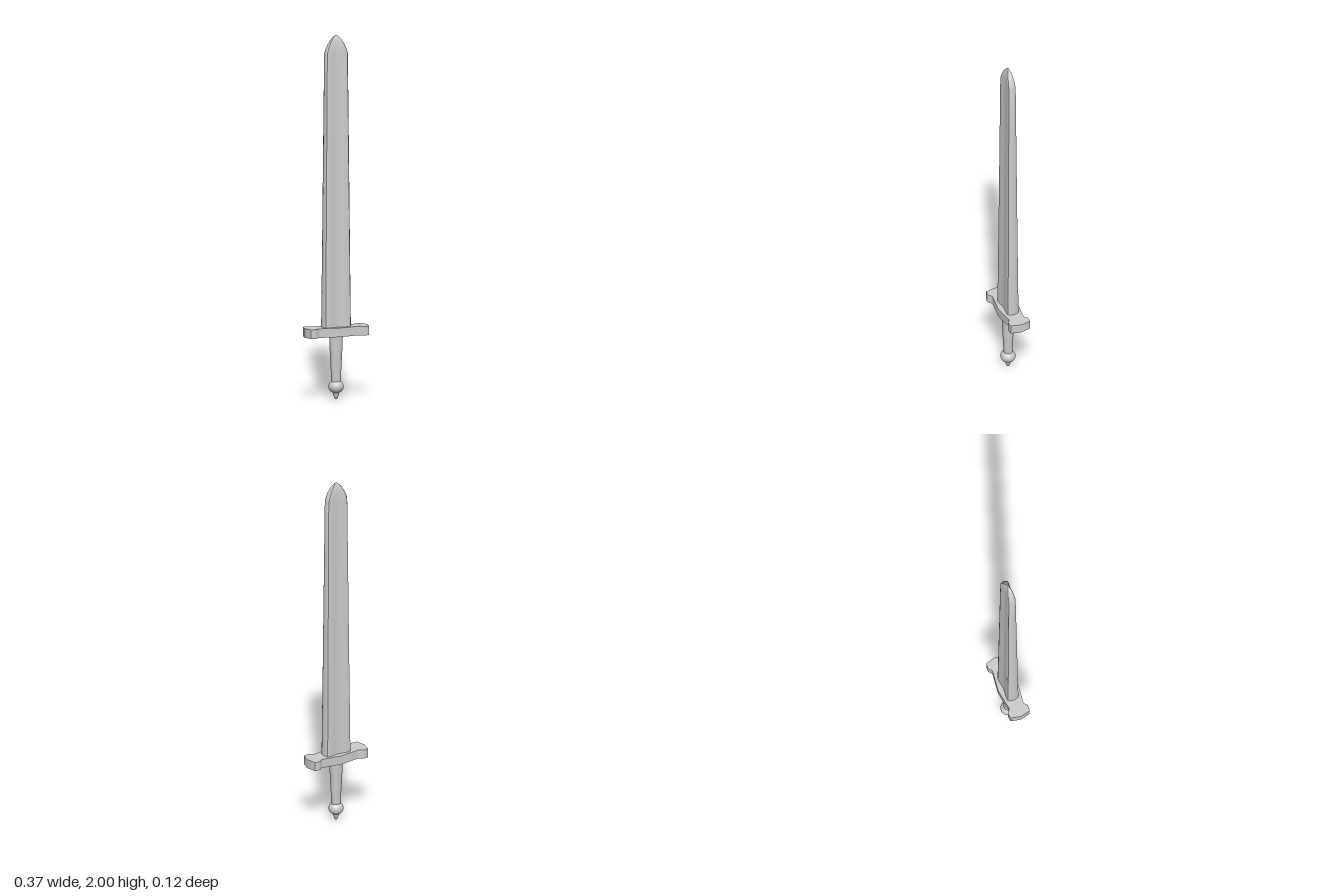
import * as THREE from 'three';
import { toCreasedNormals } from 'three/addons/utils/BufferGeometryUtils.js';

const material = new THREE.MeshStandardMaterial({ color: 0xcccccc });

function part(name, geometry) {
  const mesh = new THREE.Mesh(geometry, material);
  mesh.name = name;
  return mesh;
}

// Mirrors a quarter outline (from +x axis to +z axis) into a closed loop
function mirrorQuarter(quarter) {
  const half = [...quarter, ...quarter.slice(0, -1).reverse().map(([x, z]) => [-x, z])];
  return [...half, ...half.slice(1, -1).reverse().map(([x, z]) => [x, -z])];
}

// Blade: fullered cross-section lofted upward, closing in an ogive point
function bladeGeometry() {
  const section = mirrorQuarter([
    [1, 0], [0.96, 0.55], [0.88, 0.93], [0.76, 1], [0.6, 1],
    [0.42, 0.94], [0.2, 0.84], [0, 0.8],
  ]);
  // [y, half width, half thickness]
  const levels = [
    [0.39, 0.083, 0.033], [0.8, 0.0785, 0.0295], [1.2, 0.0745, 0.0265],
    [1.6, 0.0705, 0.0235], [1.9, 0.067, 0.0215], [1.92, 0.06, 0.0205],
    [1.945, 0.049, 0.018], [1.965, 0.037, 0.0145], [1.982, 0.024, 0.01],
    [1.994, 0.011, 0.005],
  ];
  const n = section.length;
  const position = [];
  const index = [];
  for (const [y, w, t] of levels) for (const [x, z] of section) position.push(x * w, y, z * t);
  position.push(0, 2, 0);
  const tip = levels.length * n;
  levels.forEach((_, j) => {
    for (let i = 0; i < n; i++) {
      const a = j * n + i;
      const b = j * n + (i + 1) % n;
      if (j === levels.length - 1) index.push(a, tip, b);
      else index.push(a, a + n, b, b, a + n, b + n);
    }
  });
  const geometry = new THREE.BufferGeometry();
  geometry.setAttribute('position', new THREE.Float32BufferAttribute(position, 3));
  geometry.setIndex(index);
  return toCreasedNormals(geometry, 0.6);
}

// Guard: plan outline with flared ends, extruded upward
function guardGeometry() {
  const outline = mirrorQuarter([
    [0.184, 0], [0.173, 0.05], [0.171, 0.055], [0.166, 0.057], [0.145, 0.059],
    [0.138, 0.058], [0.132, 0.054], [0.124, 0.046], [0.118, 0.0425], [0.111, 0.0425],
    [0, 0.058],
  ]);
  const shape = new THREE.Shape(outline.map(([x, z]) => new THREE.Vector2(x, z)));
  const geometry = new THREE.ExtrudeGeometry(shape, { depth: 0.05, bevelEnabled: false });
  geometry.rotateX(-Math.PI / 2).translate(0, 0.35, 0);
  return toCreasedNormals(geometry, 0.6);
}

function lathe(points) {
  const profile = points.map(([r, y]) => new THREE.Vector2(r, y));
  return toCreasedNormals(new THREE.LatheGeometry(profile, 32), 0.7);
}

export function createModel() {
  const group = new THREE.Group();
  group.name = 'sword';
  group.add(part('blade', bladeGeometry()), part('guard', guardGeometry()));

  // Tapered grip, slightly oval
  const grip = part('grip', lathe([[0.026, 0.09], [0.028, 0.15], [0.032, 0.22], [0.0355, 0.29], [0.0375, 0.352]]));
  grip.scale.z = 0.92;

  // Ball pommel with a small rounded stud below
  const pommel = part('pommel', new THREE.SphereGeometry(0.041, 32, 20));
  pommel.scale.y = 0.9;
  pommel.position.y = 0.07;
  const stud = part('pommelStud', lathe([
    [0, 0], [0.005, 0.002], [0.009, 0.008], [0.0115, 0.016], [0.014, 0.023], [0.016, 0.03], [0.018, 0.042],
  ]));
  group.add(grip, pommel, stud);
  return group;
}
